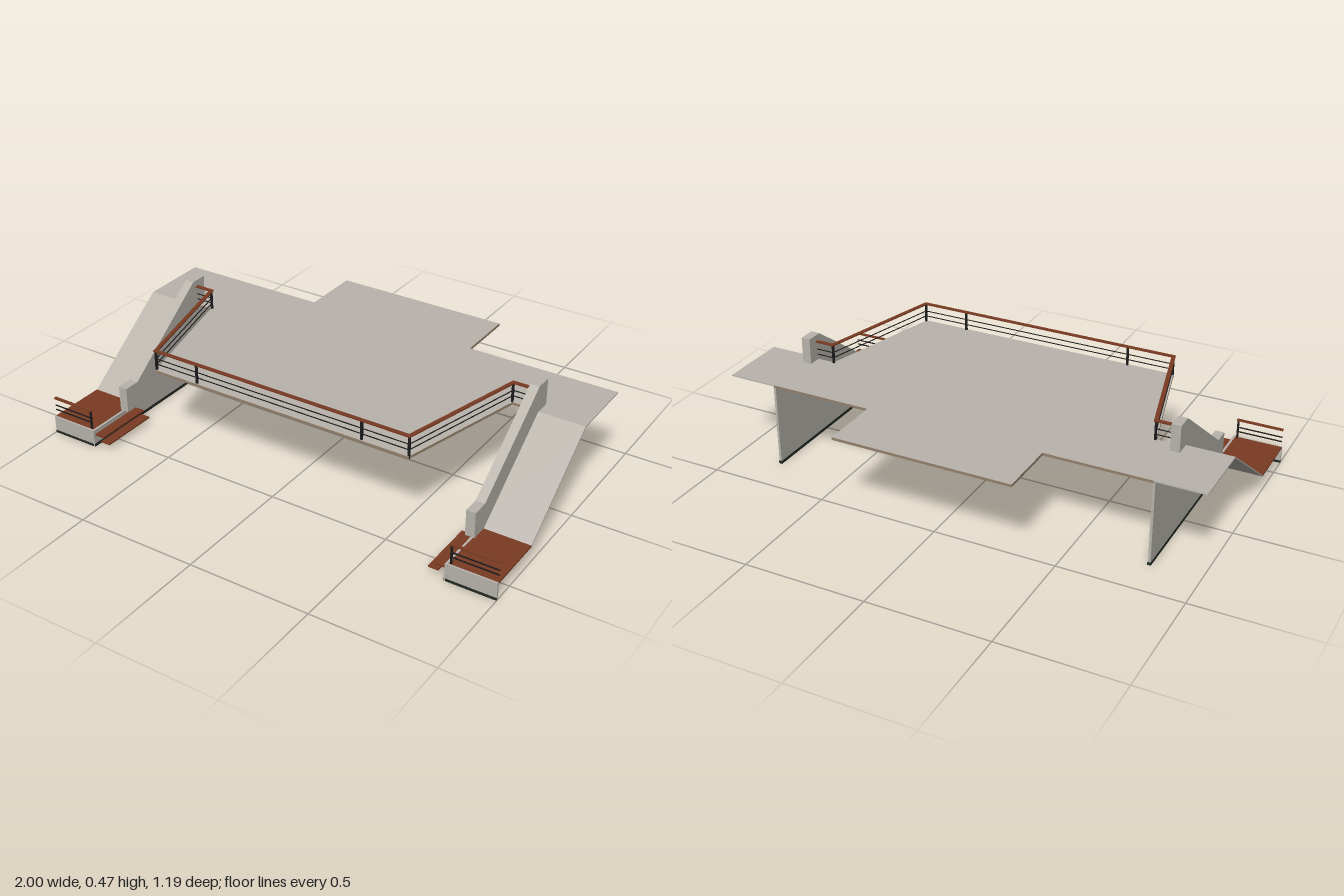
import * as THREE from 'three';

const mat = (name, color) => {
  const m = new THREE.MeshStandardMaterial({ color });
  m.name = name;
  return m;
};

export function createModel() {
  const concrete = mat('concrete', 0xb8b4ac);
  const wood = mat('redWood', 0x7a3b22);
  const edge = mat('tanEdge', 0x94806a);
  const metal = mat('blackMetal', 0x1c1c1c);
  const plinth = mat('darkPlinth', 0x232a25);

  const model = new THREE.Group();
  model.name = 'raisedTerrace';

  const add = (parent, name, geo, material) => {
    const mesh = new THREE.Mesh(geo, material);
    mesh.name = name;
    parent.add(mesh);
    return mesh;
  };

  // Box given by its limits, mirrored in x when s is -1
  const box = (parent, name, material, s, [x0, x1], [y0, y1], [z0, z1]) => {
    const m = add(parent, name, new THREE.BoxGeometry(x1 - x0, y1 - y0, z1 - z0), material);
    m.position.set(s * (x0 + x1) / 2, (y0 + y1) / 2, (z0 + z1) / 2);
  };

  // Profile of [z, y] points swept from x0 to x1, mirrored when s is -1
  const sideProfile = (parent, name, material, s, points, x0, x1) => {
    const shape = new THREE.Shape(points.map(([z, y]) => new THREE.Vector2(-z, y)));
    const geo = new THREE.ExtrudeGeometry(shape, { depth: x1 - x0, bevelEnabled: false });
    geo.rotateY(Math.PI / 2);
    geo.translate(s > 0 ? x0 : -x1, 0, 0);
    add(parent, name, geo, material);
  };

  // Square bar between two plan points [x, z]
  const bar = (parent, name, material, a, b, y, width, height) => {
    const dx = b[0] - a[0], dz = b[1] - a[1];
    const m = add(parent, name, new THREE.BoxGeometry(Math.hypot(dx, dz) + width * 0.6, height, width), material);
    m.position.set((a[0] + b[0]) / 2, y, (a[1] + b[1]) / 2);
    m.rotation.y = -Math.atan2(dz, dx);
  };

  // Main deck slab: concrete faces with a tan rim
  const half = [[0.37, -0.595], [0.37, -0.345], [0.8, -0.345], [0.8, -0.065],
    [0.7, -0.065], [0.565, 0.463]];
  const outline = [...half, ...half.map(([x, z]) => [-x, z]).reverse()];
  const deckShape = new THREE.Shape(outline.map(([x, z]) => new THREE.Vector2(x, -z)));
  const deckGeo = new THREE.ExtrudeGeometry(deckShape, { depth: 0.011, bevelEnabled: false });
  deckGeo.rotateX(-Math.PI / 2);
  deckGeo.translate(0, 0.347, 0);
  add(model, 'deck', deckGeo, [concrete, edge]);

  for (const s of [1, -1]) {
    const side = new THREE.Group();
    side.name = s > 0 ? 'leftRamp' : 'rightRamp';
    model.add(side);

    // Thin upper landing and sloping ramp
    sideProfile(side, 'rampSurface', concrete, s, [[-0.345, 0.358], [-0.055, 0.358], [0.34, 0.072],
      [0.34, 0.066], [-0.057, 0.353], [-0.345, 0.353]], 0.8, 1);

    // Supporting wall under the inner edge
    sideProfile(side, 'supportWall', concrete, s, [[-0.34, 0], [-0.34, 0.355], [-0.055, 0.355],
      [0.34, 0.072], [0.595, 0.072], [0.595, 0]], 0.795, 0.805);

    // Parapet following the slope
    sideProfile(side, 'parapet', concrete, s, [[-0.12, 0.35], [-0.12, 0.467], [-0.05, 0.467],
      [0.34, 0.18], [0.41, 0.18], [0.41, 0.073], [0.34, 0.073], [-0.05, 0.35]], 0.773, 0.811);

    // Lower landing, its front panel and dark plinth strips
    box(side, 'landingBoards', wood, s, [0.805, 1], [0.066, 0.073], [0.34, 0.586]);
    box(side, 'landingFront', concrete, s, [0.8, 1], [0, 0.072], [0.586, 0.594]);
    box(side, 'wallPlinth', plinth, s, [0.793, 0.807], [0, 0.012], [-0.341, 0.595]);
    box(side, 'frontPlinth', plinth, s, [0.8, 1], [0, 0.01], [0.585, 0.596]);

    // Two thin steps beside the landing
    box(side, 'upperStep', wood, s, [0.752, 0.795], [0.048, 0.054], [0.34, 0.586]);
    box(side, 'lowerStep', wood, s, [0.725, 0.766], [0.025, 0.031], [0.34, 0.586]);

    // Landing railing
    box(side, 'landingPost', metal, s, [0.81, 0.817], [0.072, 0.153], [0.579, 0.586]);
    box(side, 'landingHandrail', wood, s, [0.808, 1], [0.151, 0.156], [0.575, 0.589]);
    for (const y of [0.12, 0.1])
      box(side, 'landingRail', metal, s, [0.81, 1], [y - 0.002, y + 0.002], [0.58, 0.584]);
  }

  // Terrace railing around the front of the deck
  const railing = new THREE.Group();
  railing.name = 'terraceRailing';
  model.add(railing);
  const path = [[0.775, -0.071], [0.697, -0.071], [0.563, 0.456],
    [-0.563, 0.456], [-0.697, -0.071], [-0.775, -0.071]];
  for (let i = 0; i < path.length - 1; i++) {
    bar(railing, 'handrail', wood, path[i], path[i + 1], 0.439, 0.016, 0.005);
    for (const y of [0.405, 0.382])
      bar(railing, 'midRail', metal, path[i], path[i + 1], y, 0.003, 0.003);
  }
  for (const s of [1, -1])
    for (const [x, z] of [[0.697, -0.069], [0.563, 0.456], [0.368, 0.456]])
      box(railing, 'post', metal, s, [x - 0.004, x + 0.004], [0.347, 0.437], [z - 0.004, z + 0.004]);

  return model;
}
